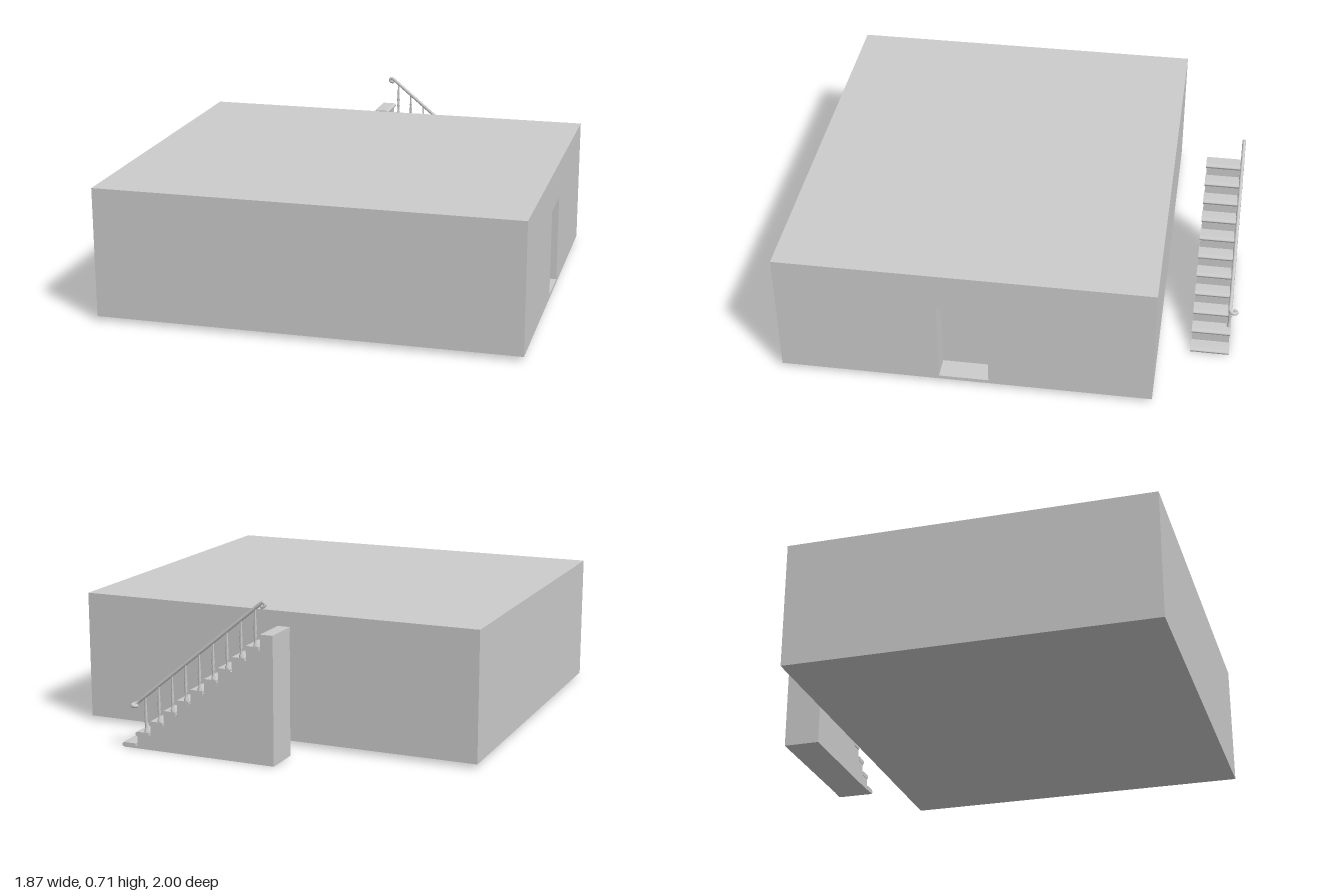
import * as THREE from 'three';
import { toCreasedNormals } from 'three/addons/utils/BufferGeometryUtils.js';

const material = new THREE.MeshStandardMaterial({ color: 0xcccccc });

function add(parent, name, geometry, x = 0, y = 0, z = 0) {
  const mesh = new THREE.Mesh(geometry, material);
  mesh.name = name;
  mesh.position.set(x, y, z);
  parent.add(mesh);
  return mesh;
}

function rectangle(Type, x0, y0, x1, y1) {
  const r = new Type();
  r.moveTo(x0, y0);
  r.lineTo(x1, y0);
  r.lineTo(x1, y1);
  r.lineTo(x0, y1);
  r.closePath();
  return r;
}

// Block with a doorway recessed into its +x wall
function createBuilding() {
  const group = new THREE.Group();
  group.name = 'building';
  const recess = 0.1, bottom = 0.018, top = 0.598;
  add(group, 'mainBlock', new THREE.BoxGeometry(1.87 - recess, top - bottom, 1.65),
    -recess / 2, (top + bottom) / 2, 0.175);
  const wall = rectangle(THREE.Shape, -1, bottom, 0.65, top);
  wall.holes.push(rectangle(THREE.Path, -0.29, 0.035, -0.07, 0.428));
  const geometry = new THREE.ExtrudeGeometry(wall, { depth: recess, bevelEnabled: false });
  geometry.rotateY(Math.PI / 2);
  add(group, 'doorwayWall', geometry, 0.935 - recess);
  return group;
}

const STEPS = 11, RUN = 0.0664, RISE = 0.0545;
const LOW_X = 0.59, HIGH_X = -0.14, LOW_Y = 0.022;
const Z_BACK = -0.967, Z_FRONT = -0.793;

// Staircase climbing towards -x
function createStairs() {
  const group = new THREE.Group();
  group.name = 'staircase';
  const thickness = 0.021, inset = 0.008;

  // Solid stepped body below the treads
  const body = new THREE.Shape();
  body.moveTo(HIGH_X, 0);
  body.lineTo(LOW_X - inset, 0);
  for (let i = 0; i < STEPS; i++) {
    const y = LOW_Y + i * RISE - thickness / 2;
    const front = LOW_X - i * RUN - inset;
    body.lineTo(front, y);
    body.lineTo(i < STEPS - 1 ? front - RUN : HIGH_X, y);
  }
  body.closePath();
  add(group, 'stairBody', new THREE.ExtrudeGeometry(body,
    { depth: Z_FRONT - Z_BACK - 0.006, bevelEnabled: false }), 0, 0, Z_BACK + 0.003);

  // Treads with a rounded nosing
  const r = thickness / 2;
  const profile = new THREE.Shape();
  profile.moveTo(-RUN, -thickness);
  profile.lineTo(-r, -thickness);
  profile.absarc(-r, -r, r, -Math.PI / 2, Math.PI / 2, false);
  profile.lineTo(-RUN, 0);
  profile.closePath();
  const tread = toCreasedNormals(new THREE.ExtrudeGeometry(profile,
    { depth: Z_FRONT - Z_BACK, bevelEnabled: false, curveSegments: 8 }), 0.7);
  for (let i = 0; i < STEPS; i++) {
    add(group, 'tread', tread, LOW_X - i * RUN, LOW_Y + i * RISE, Z_BACK);
  }
  return group;
}

// Sloping handrail with curled ends on turned balusters
function createRailing() {
  const group = new THREE.Group();
  group.name = 'railing';
  const z = -0.957, radius = 0.008;
  const railY = (x) => 0.694 - 0.82 * (x + 0.08);
  const v = (x, y, dz = 0) => new THREE.Vector3(x, y, z + dz);

  const path = new THREE.CatmullRomCurve3([
    v(-0.09, 0.684), v(-0.1, 0.685), v(-0.103, 0.695), v(-0.094, 0.703), v(-0.08, railY(-0.08)),
    v(-0.05, railY(-0.05)), v(0.2, railY(0.2)), v(0.48, railY(0.48)),
    v(0.515, 0.206), v(0.528, 0.2, -0.01), v(0.526, 0.198, -0.026), v(0.513, 0.197, -0.031),
    v(0.507, 0.197, -0.022),
  ], false, 'centripetal');
  add(group, 'handrail', new THREE.TubeGeometry(path, 120, radius, 10, false));
  for (const t of [0, 1]) {
    const p = path.getPointAt(t);
    add(group, 'handrailEnd', new THREE.SphereGeometry(radius * 1.1, 12, 8), p.x, p.y, p.z);
  }

  // Turned profile as [radius, share of height]
  const turning = [[0.009, 0], [0.009, 0.06], [0.005, 0.1], [0.005, 0.22], [0.008, 0.28],
    [0.005, 0.34], [0.0075, 0.48], [0.0045, 0.62], [0.007, 0.67], [0.0045, 0.72], [0.004, 1]];
  for (let i = 1; i < STEPS - 1; i++) {
    const x = LOW_X - i * RUN - 0.05;
    const base = LOW_Y + i * RISE;
    const height = railY(x) - base;
    const points = turning.map(([r, t]) => new THREE.Vector2(r, t * height));
    add(group, 'baluster', new THREE.LatheGeometry(points, 12), x, base, z);
  }
  return group;
}

export function createModel() {
  const model = new THREE.Group();
  model.name = 'buildingWithStairs';
  model.add(createBuilding(), createStairs(), createRailing());
  return model;
}
